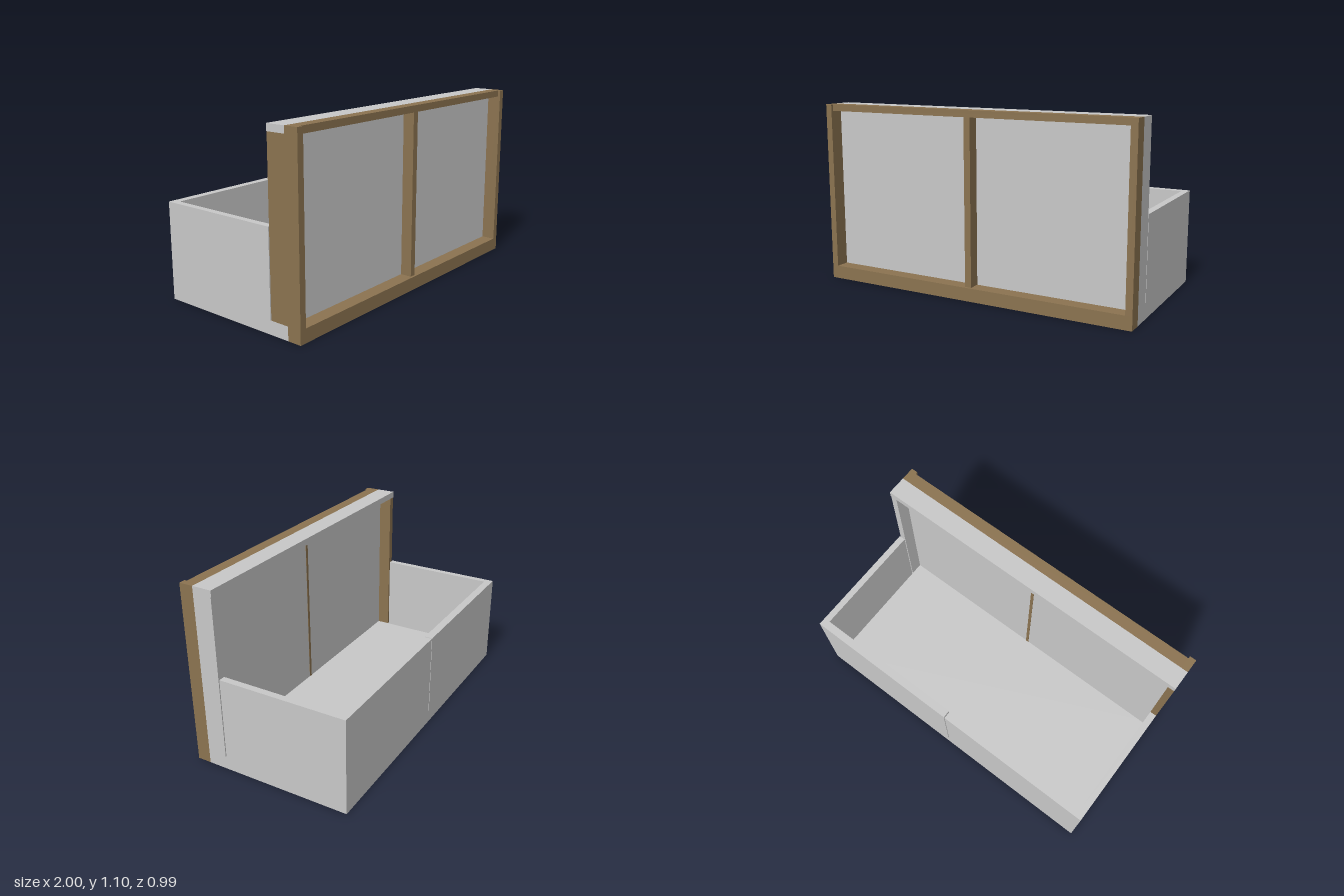
import * as THREE from 'three';

export function createModel() {
  const model = new THREE.Group();
  model.name = 'windowBox';
  const grey = new THREE.MeshStandardMaterial({ color: 0xc8c8c8 });
  grey.name = 'grey';
  const wood = new THREE.MeshStandardMaterial({ color: 0x8b7350 });
  wood.name = 'woodBrown';

  // Box given by its limits on each axis
  const slab = (name, material, [x0, x1], [y0, y1], [z0, z1]) => {
    const mesh = new THREE.Mesh(new THREE.BoxGeometry(x1 - x0, y1 - y0, z1 - z0), material);
    mesh.position.set((x0 + x1) / 2, (y0 + y1) / 2, (z0 + z1) / 2);
    mesh.name = name;
    model.add(mesh);
  };

  const base = 0.08, head = 1.06, top = 1.10, wallTop = 0.58;
  const back = -0.495, front = 0.495, face = 0.41, reveal = 0.293;
  const inner = 0.96;

  // Floor and low walls of the box
  slab('floor', grey, [-1, 1], [0, base], [back, face]);
  for (const s of [-1, 1]) {
    const side = [s * inner, s].sort((a, b) => a - b);
    const half = [s * 0.003, s].sort((a, b) => a - b);
    const pane = [s * 0.01, s * inner].sort((a, b) => a - b);
    slab('sideWall', grey, side, [base, wallTop], [-0.447, 0.287]);
    slab('backWall', grey, half, [base, wallTop], [back, -0.447]);
    slab('windowPane', grey, pane, [base, head], [0.373, face]);
    // Front posts
    slab('framePost', wood, side, [base, top], [face, front]);
    // Deep jambs: wood on one side, grey on the other
    slab('jamb', s < 0 ? wood : grey, side, [base, head], [reveal, face]);
  }

  // Lintel and front frame
  slab('lintel', grey, [-1, 1], [head, top], [reveal - 0.003, face]);
  slab('frameSill', wood, [-1, 1], [0, base], [face, front]);
  slab('frameTopRail', wood, [-inner, inner], [head, top], [face, 0.48]);
  slab('mullion', wood, [-0.02, 0.02], [base, head], [face, 0.48]);
  slab('mullionCore', wood, [-0.01, 0.01], [base, head], [0.371, face]);

  return model;
}
